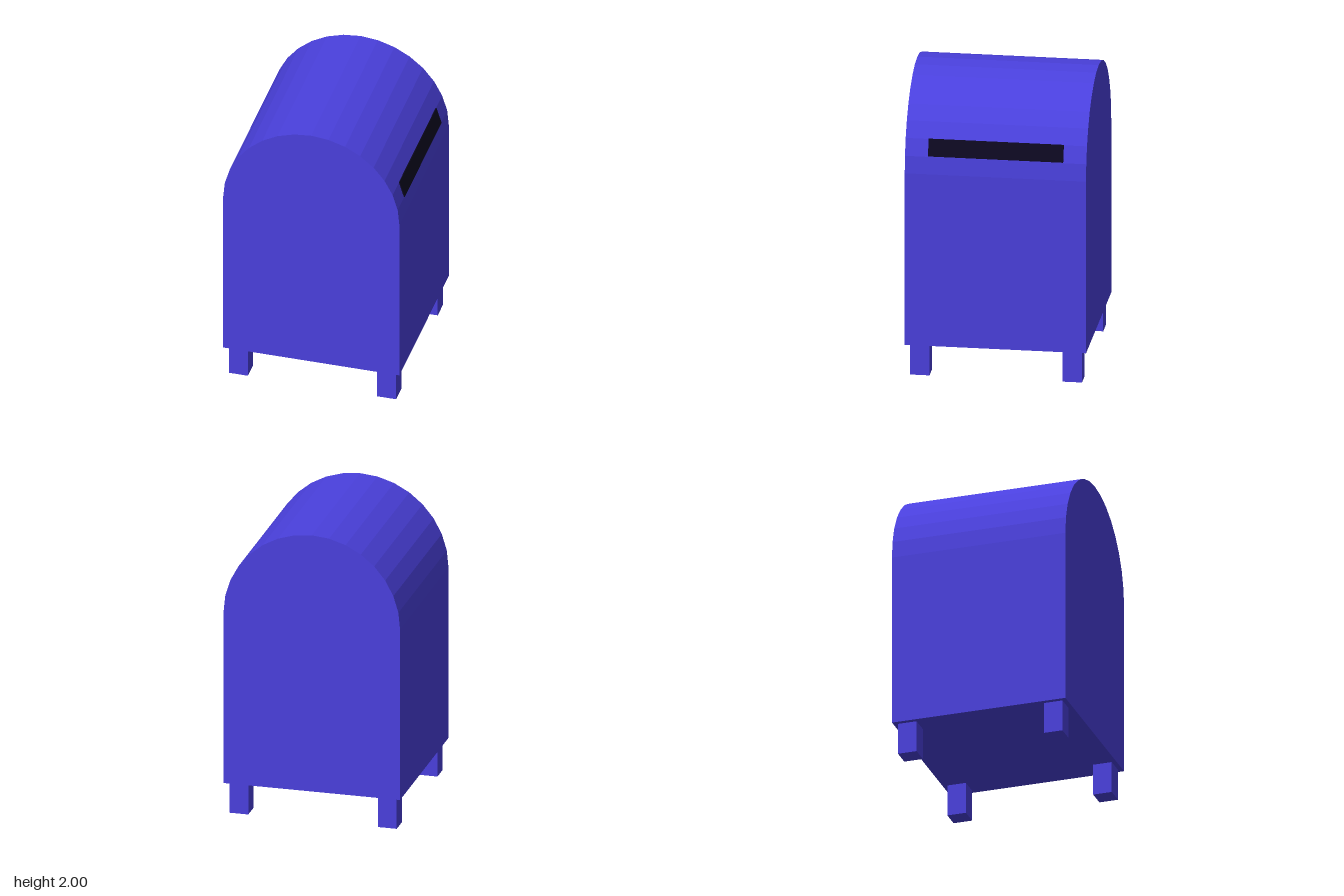
import * as THREE from 'three';

export function createModel() {
  const group = new THREE.Group();
  const blue = new THREE.MeshStandardMaterial({ color: 0x4a40dd, flatShading: true });
  const dark = new THREE.MeshStandardMaterial({ color: 0x0c0820, flatShading: true });

  const R = 0.597, bottom = 0.215, springY = 2 - R, facets = 16;

  function add(name, geometry, material, x = 0, y = 0, z = 0) {
    const mesh = new THREE.Mesh(geometry, material);
    mesh.name = name;
    mesh.position.set(x, y, z);
    group.add(mesh);
    return mesh;
  }

  // Body: arched outline with a faceted half-round roof, extruded front to back
  const outline = new THREE.Shape();
  outline.moveTo(-R, bottom);
  outline.lineTo(R, bottom);
  for (let i = 0; i <= facets; i++) {
    const a = (i / facets) * Math.PI;
    outline.lineTo(R * Math.cos(a), springY + R * Math.sin(a));
  }
  const body = new THREE.ExtrudeGeometry(outline, { depth: 2 * R, bevelEnabled: false });
  add('body', body.translate(0, 0, -R), blue);

  // Mail slot: thin dark plate lying on the second roof facet of the left side
  const tilt = (1.5 / facets) * Math.PI;
  const apothem = R * Math.cos(Math.PI / facets / 2);
  const slotHeight = 2 * R * Math.sin(Math.PI / facets / 2);
  const slot = add('mailSlot', new THREE.BoxGeometry(0.01, slotHeight, 0.89), dark,
    apothem * Math.cos(tilt), springY + apothem * Math.sin(tilt) + 0.003, 0);
  slot.rotation.z = tilt;

  // Four square legs, one under each corner
  const legGeometry = new THREE.BoxGeometry(0.128, bottom, 0.128);
  for (const [xName, sx] of [['Left', 1], ['Right', -1]]) {
    for (const [zName, sz] of [['front', 1], ['back', -1]]) {
      add(`${zName}${xName}Leg`, legGeometry, blue, sx * 0.502, bottom / 2, sz * 0.502);
    }
  }

  return group;
}
